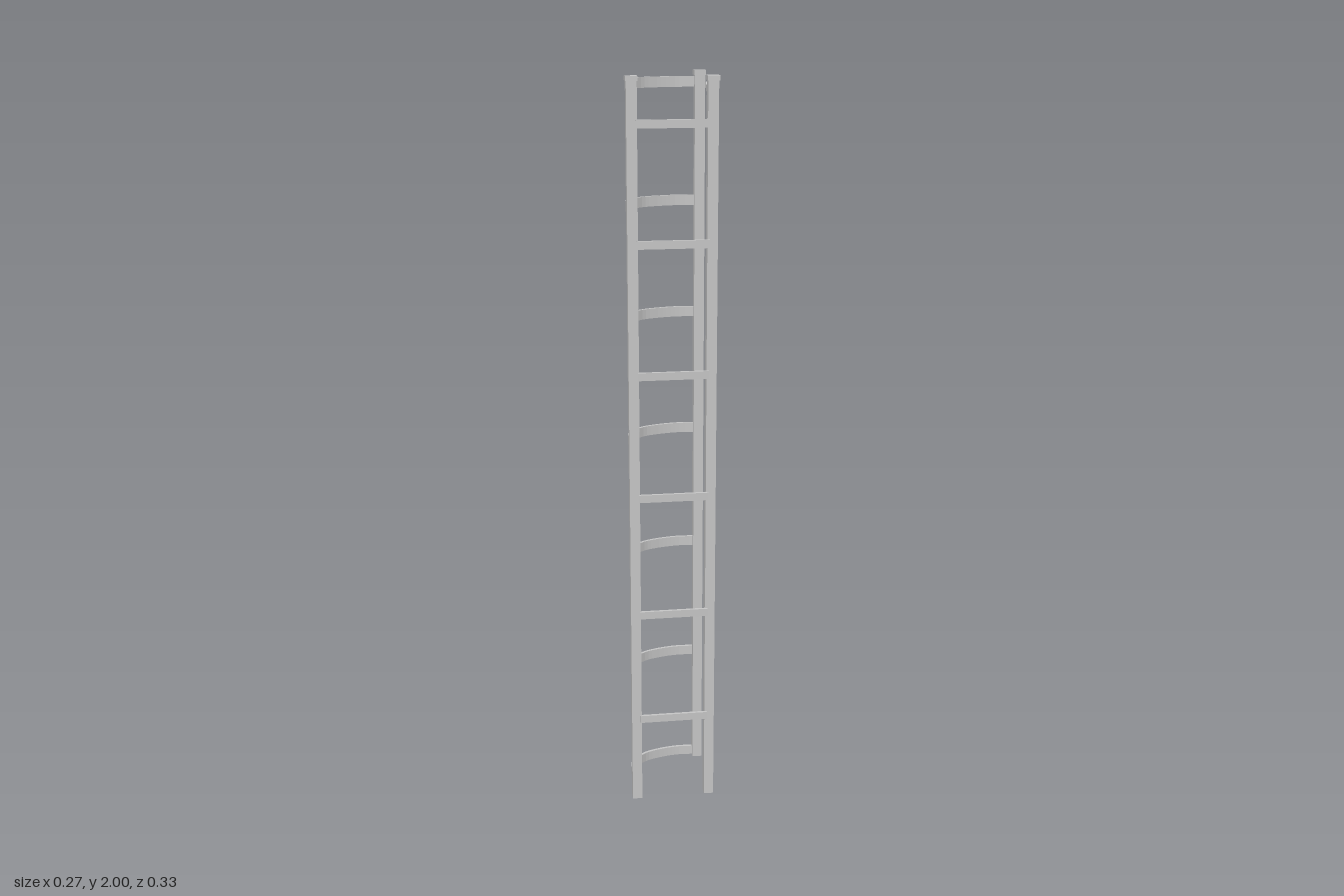
import * as THREE from 'three';

const steel = new THREE.MeshStandardMaterial({ color: 0xc6c6c6 });
steel.name = 'light grey steel';

const TURN = Math.PI / 6; // the ladder plane is turned about y
const HOOP = new THREE.SplineCurve([
  [-0.07, 0.13], [-0.11, 0.057], [-0.127, 0.024], [-0.132, -0.004], [-0.119, -0.046],
  [-0.098, -0.075], [-0.071, -0.102], [-0.042, -0.124], [-0.005, -0.143],
].map(([x, z]) => new THREE.Vector2(x, z)));
const RUNG = [new THREE.Vector2(-0.044, 0.149), new THREE.Vector2(0.117, 0.054)];

function add(parent, name, geometry, x, y, z) {
  const mesh = new THREE.Mesh(geometry, steel);
  mesh.name = name;
  mesh.position.set(x, y, z);
  parent.add(mesh);
  return mesh;
}

// Flat bar of given height that follows a path of (x, z) points in plan
function flatBar(points, thickness, height) {
  const path = points.map((p) => new THREE.Vector2(p.x, -p.y));
  const left = [], right = [];
  path.forEach((p, i) => {
    const a = path[Math.max(i - 1, 0)], b = path[Math.min(i + 1, path.length - 1)];
    const d = b.clone().sub(a).normalize();
    const n = new THREE.Vector2(-d.y, d.x).multiplyScalar(thickness / 2);
    left.push(p.clone().add(n));
    right.unshift(p.clone().sub(n));
  });
  const geometry = new THREE.ExtrudeGeometry(new THREE.Shape([...left, ...right]), { depth: height, bevelEnabled: false });
  geometry.translate(0, 0, -height / 2);
  geometry.rotateX(-Math.PI / 2);
  return geometry;
}

// Square upright with a slightly wider cap
function post(name, x, z) {
  const group = new THREE.Group();
  group.name = name;
  group.position.set(x, 0, z);
  group.rotation.y = TURN;
  add(group, 'upright', new THREE.BoxGeometry(0.027, 1.99, 0.027), 0, 0.995, 0);
  add(group, 'cap', new THREE.BoxGeometry(0.031, 0.012, 0.031), 0, 1.994, 0);
  return group;
}

// Two thin vertical wires held by a clamp behind a post
function wiresAndClamp(group, side) {
  const x = side * 0.006;
  for (const z of [-0.024, -0.04])
    add(group, 'wire', new THREE.CylinderGeometry(0.002, 0.002, 1.965, 8), x, 0.9825, z);
  add(group, 'clampArm', new THREE.BoxGeometry(0.006, 0.012, 0.026), x, 1.966, -0.025);
  add(group, 'clampBody', new THREE.BoxGeometry(0.012, 0.016, 0.016), x, 1.967, -0.026);
  const end = add(group, 'clampEnd', new THREE.BoxGeometry(0.012, 0.018, 0.01), x, 1.972, -0.038);
  end.rotation.x = -0.35;
}

export function createModel() {
  const model = new THREE.Group();
  model.name = 'cagedLadder';

  const rightPost = post('rightPost', -0.06, 0.142);
  const leftPost = post('leftPost', 0.1155, 0.0375);
  const rearPost = post('rearPost', 0.006, -0.145);
  wiresAndClamp(rightPost, 1);
  wiresAndClamp(leftPost, -1);
  model.add(rightPost, leftPost, rearPost);

  // Straight rungs across the front
  const rung = flatBar(RUNG, 0.008, 0.021);
  for (const y of [0.252, 0.568, 0.906, 1.242, 1.585, 1.885]) add(model, 'rung', rung, 0, y, 0);

  // Curved guard hoops on the right side
  const hoop = flatBar(HOOP.getPoints(24), 0.0075, 0.027);
  for (const y of [0.0145, 0.345, 0.69, 1.03, 1.361, 1.664, 1.971]) add(model, 'hoop', hoop, 0, y, 0);

  return model;
}
